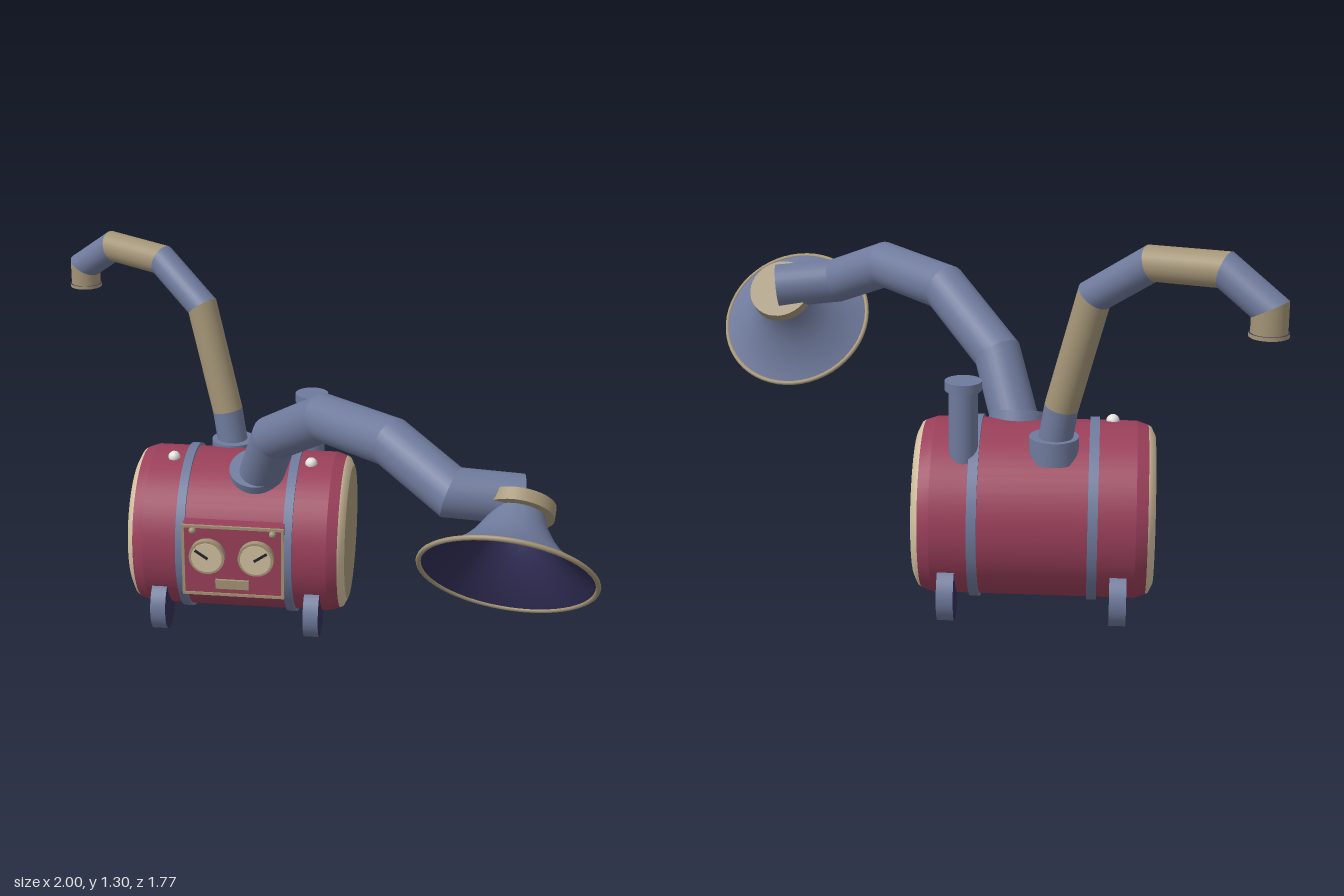
import * as THREE from 'three';
import { toCreasedNormals } from 'three/addons/utils/BufferGeometryUtils.js';

const V = (x, y, z) => new THREE.Vector3(x, y, z);
const UP = V(0, 1, 0);

export function createModel() {
  const model = new THREE.Group();
  const mat = (name, color, side = THREE.FrontSide) => {
    const m = new THREE.MeshStandardMaterial({ color, side });
    m.name = name;
    return m;
  };
  const red = mat('barrel red', 0x9a3f5a);
  const blue = mat('steel blue', 0x6f7a9c);
  const tan = mat('brass tan', 0xa39476);
  const cream = mat('cream', 0xd2c0a0);
  const navy = mat('dark navy', 0x322f58, THREE.DoubleSide);
  const white = mat('knob white', 0xe4e2dc);
  const black = mat('needle black', 0x25232c);

  const add = (name, geo, material, pos = [0, 0, 0], parent = model) => {
    const mesh = new THREE.Mesh(geo, material);
    mesh.name = name;
    mesh.position.set(...pos);
    parent.add(mesh);
    return mesh;
  };
  const lathe = (pts, crease = 0.3, seg = 56) =>
    toCreasedNormals(new THREE.LatheGeometry(pts.map(p => new THREE.Vector2(...p)), seg), crease);
  const cyl = (r, h, seg = 36) => new THREE.CylinderGeometry(r, r, h, seg);

  // One straight pipe piece per pair of points, mitred where pieces meet
  function pipe(names, points, radius, materials) {
    const n = 28, dirs = points.slice(1).map((p, i) => p.clone().sub(points[i]).normalize());
    const u = V(0, 0, 1).cross(dirs[0]).normalize();
    const v = dirs[0].clone().cross(u);
    let ring = Array.from({ length: n + 1 }, (_, i) => {
      const a = (i / n) * Math.PI * 2;
      return points[0].clone().addScaledVector(u, radius * Math.cos(a)).addScaledVector(v, radius * Math.sin(a));
    });
    dirs.forEach((d, s) => {
      const end = points[s + 1];
      const plane = dirs[s + 1] ? d.clone().add(dirs[s + 1]).normalize() : d;
      const next = ring.map(p =>
        p.clone().addScaledVector(d, end.clone().sub(p).dot(plane) / d.dot(plane)));
      const pos = [], nor = [], idx = [];
      for (const r of [ring, next]) for (const p of r) {
        const o = p.clone().sub(end);
        o.addScaledVector(d, -o.dot(d)).normalize();
        pos.push(p.x, p.y, p.z);
        nor.push(o.x, o.y, o.z);
      }
      for (let i = 0; i < n; i++) {
        const b = i + n + 1;
        idx.push(i, i + 1, b, i + 1, b + 1, b);
      }
      const g = new THREE.BufferGeometry();
      g.setAttribute('position', new THREE.Float32BufferAttribute(pos, 3));
      g.setAttribute('normal', new THREE.Float32BufferAttribute(nor, 3));
      g.setIndex(idx);
      add(names + (s + 1), g, materials[s % materials.length]);
      ring = next;
    });
  }

  // Barrel lying along x, with cream bevels and tan end faces
  const CX = -0.2525, CY = 0.32, CZ = -0.315;
  const barrel = new THREE.Group();
  barrel.name = 'barrel';
  barrel.position.set(CX, CY, CZ);
  barrel.rotation.z = -Math.PI / 2;
  model.add(barrel);
  add('barrelBody', lathe([[0.28, -0.368], [0.293, -0.33], [0.293, 0.33], [0.28, 0.368]]), red, [0, 0, 0], barrel);
  for (const s of [-1, 1]) {
    const bevel = add('endBevel', lathe([[0.28, 0.368], [0.274, 0.378], [0.245, 0.392]], 0.6), cream, [0, 0, 0], barrel);
    const face = add('endFace', new THREE.CircleGeometry(0.246, 56), tan, [0, s * 0.392, 0], barrel);
    face.rotation.x = -s * Math.PI / 2;
    if (s < 0) bevel.rotation.x = Math.PI;
    add('barrelBand', cyl(0.303, 0.032, 56), blue, [0, s * 0.1925, 0], barrel);
  }

  // Wheels and top knobs
  for (const x of [-0.53, 0.025]) {
    for (const z of [-0.105, -0.522]) {
      const w = add('wheel', cyl(0.098, 0.055), [blue, navy, navy], [x, 0.098, z]);
      w.rotation.z = Math.PI / 2;
    }
  }
  for (const x of [-0.503, -0.002])
    add('topKnob', new THREE.SphereGeometry(0.022, 20, 14), white, [x, 0.608, -0.26]);

  // Gauge panel
  const PX = -0.25, PY = 0.325;
  add('panel', new THREE.BoxGeometry(0.36, 0.27, 0.1), red, [PX, PY, -0.05]);
  for (const s of [-1, 1]) {
    add('panelTrim', new THREE.BoxGeometry(0.366, 0.01, 0.009), tan, [PX, PY + s * 0.131, 0]);
    add('panelTrim', new THREE.BoxGeometry(0.01, 0.272, 0.009), tan, [PX + s * 0.178, PY, 0]);
    add('panelRivet', new THREE.SphereGeometry(0.013, 14, 10), tan, [PX + s * 0.143, 0.44, 0.003]);
    const x = -0.2525 + s * 0.0875;
    add('gaugeRim', cyl(0.064, 0.03), tan, [x, 0.347, 0.01]).rotation.x = Math.PI / 2;
    add('gaugeFace', cyl(0.055, 0.006), cream, [x, 0.347, 0.026]).rotation.x = Math.PI / 2;
    add('gaugeNeedle', new THREE.BoxGeometry(0.055, 0.009, 0.004), black, [x + s * 0.018, 0.36, 0.031])
      .rotation.z = s * 0.6;
  }
  add('namelessPlate', new THREE.BoxGeometry(0.12, 0.034, 0.014), tan, [PX - 0.003, 0.237, 0.004]);

  // Chimney
  add('chimney', cyl(0.047, 0.26), blue, [-0.025, 0.65, -0.468]);
  add('chimneyCap', cyl(0.06, 0.03), blue, [-0.025, 0.785, -0.468]);

  // Jointed exhaust pipe in alternating colours
  add('exhaustFlange', cyl(0.08, 0.08), blue, [-0.315, 0.575, -0.45]);
  pipe('exhaustPipe', [
    V(-0.31, 0.55, -0.448), V(-0.338, 0.72, -0.465), V(-0.435, 1.1, -0.52), V(-0.605, 1.235, -0.64),
    V(-0.815, 1.247, -0.755), V(-0.943, 1.15, -0.825), V(-0.943, 1.072, -0.825),
  ], 0.055, [blue, tan]);
  add('exhaustMouth', cyl(0.06, 0.012), [tan, navy, navy], [-0.943, 1.075, -0.825]);

  // Horn pipe
  const collar = V(0.744, 0.845, 0.51);
  add('hornFlange', cyl(0.1, 0.06), blue, [-0.19, 0.58, -0.21])
    .quaternion.setFromUnitVectors(UP, V(0, 0.92, 0.39).normalize());
  pipe('hornPipe', [
    V(-0.19, 0.54, -0.225), V(-0.11, 0.775, -0.08), V(0.09, 0.945, 0.15),
    V(0.33, 0.965, 0.385), V(0.53, 0.865, 0.53), collar,
  ], 0.08, [blue]);
  const endCap = add('hornPipeEnd', cyl(0.08, 0.01), blue, collar.toArray());
  endCap.quaternion.setFromUnitVectors(UP, collar.clone().sub(V(0.53, 0.865, 0.53)).normalize());

  // Flared horn; local +y points back to the throat
  const horn = new THREE.Group();
  horn.name = 'horn';
  horn.position.set(0.715, 0.67, 0.695);
  horn.quaternion.setFromUnitVectors(UP, V(0.11, 0.67, -0.74).normalize());
  model.add(horn);
  const flare = [[0.278, 0], [0.235, 0.024], [0.195, 0.054], [0.158, 0.085], [0.128, 0.12], [0.1, 0.165], [0.085, 0.21]];
  add('hornOutside', lathe(flare, 0.6), blue, [0, 0, 0], horn);
  const inner = flare.map(([r, y]) => [r - 0.006 - y * 0.1, y - 0.002]);
  add('hornInside', lathe(inner.reverse(), 0.6), navy, [0, 0, 0], horn);
  add('hornRim', new THREE.TorusGeometry(0.276, 0.008, 10, 56), tan, [0, 0, 0], horn).rotation.x = Math.PI / 2;
  add('hornThroat', cyl(0.06, 0.008), blue, [0, 0.2, 0], horn);
  add('hornCollar', cyl(0.115, 0.042), tan, [0, 0.225, 0], horn);

  return model;
}
